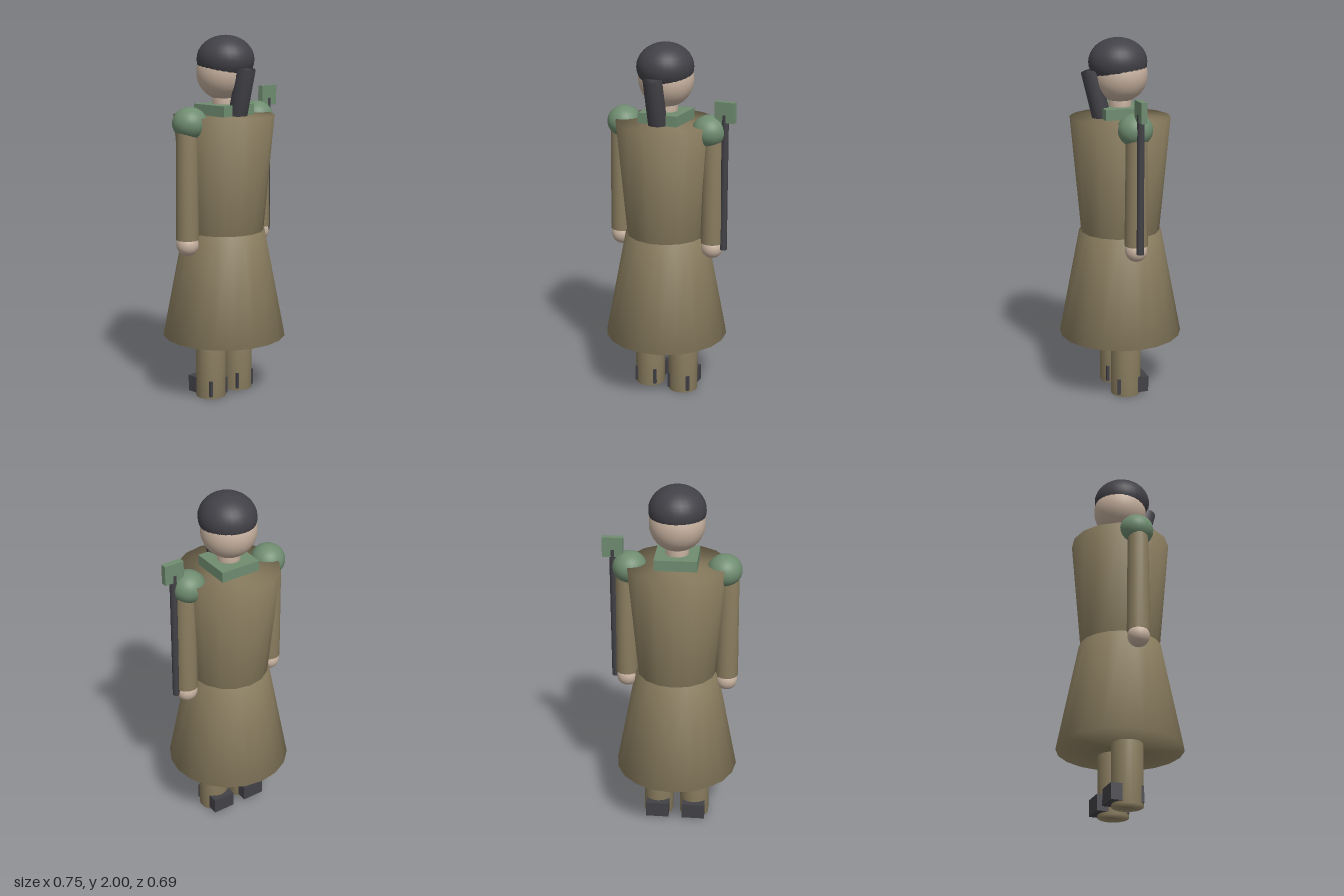
import * as THREE from 'three';
import { mergeVertices } from 'three/addons/utils/BufferGeometryUtils.js';

const CX = -0.027; // body axis

const mat = (name, color) => {
  const m = new THREE.MeshStandardMaterial({ color });
  m.name = name;
  return m;
};

// Closed cylinder between two heights, with normals softened over the rims
function softCylinder(rTop, rBottom, y0, y1, sides) {
  const g = new THREE.CylinderGeometry(rTop, rBottom, y1 - y0, sides);
  g.deleteAttribute('uv');
  g.deleteAttribute('normal');
  const soft = mergeVertices(g, 1e-4);
  soft.computeVertexNormals();
  return soft.translate(0, (y0 + y1) / 2, 0);
}

const ellipsoid = (rx, ry, rz) => new THREE.SphereGeometry(1, 28, 18).scale(rx, ry, rz);

export function createModel() {
  const coat = mat('coat brown', 0x8b7e60);
  const green = mat('trim green', 0x6f8c70);
  const skin = mat('skin', 0xc6b19f);
  const dark = mat('charcoal', 0x424147);

  const model = new THREE.Group();
  model.name = 'figure';
  const add = (name, geometry, material, x, y = 0, z = 0) => {
    const mesh = new THREE.Mesh(geometry, material);
    mesh.name = name;
    mesh.position.set(x, y, z);
    model.add(mesh);
    return mesh;
  };

  // Coat
  add('coatSkirt', softCylinder(0.228, 0.343, 0.34, 0.935, 20), coat, CX);
  add('coatTorso', softCylinder(0.276, 0.218, 0.93, 1.572, 16), coat, CX);
  add('collar', new THREE.BoxGeometry(0.23, 0.06, 0.23), green, CX, 1.6);

  // Head, hair and the lock hanging in front of the face
  add('neck', softCylinder(0.063, 0.063, 1.55, 1.72, 16), skin, CX);
  add('head', ellipsoid(0.15, 0.15, 0.15), skin, CX, 1.8);
  add('hair', ellipsoid(0.153, 0.13, 0.16), dark, CX, 1.87, 0.012);
  const lock = add('frontLock', softCylinder(0.052, 0.052, -0.35, 0, 14), dark, CX, 1.827, 0.167);
  lock.rotation.x = 0.24;

  // Arms, hands, shoulder pads, legs and shoes on both sides
  for (const [side, s] of [['left', 1], ['right', -1]]) {
    add(side + 'Arm', softCylinder(0.056, 0.063, 0.918, 1.55, 16), coat, CX + s * 0.277);
    add(side + 'Hand', ellipsoid(0.06, 0.06, 0.06), skin, CX + s * 0.277, 0.888);
    add(side + 'ShoulderPad', ellipsoid(0.094, 0.087, 0.095), green, CX + s * 0.255, 1.543);
    add(side + 'Leg', softCylinder(0.084, 0.084, 0, 0.45, 18), coat, CX + s * 0.104);
    add(side + 'Shoe', new THREE.BoxGeometry(0.13, 0.09, 0.18), dark, CX + s * 0.104, 0.058, -0.023);
  }

  // Staff with a flat head beside the left arm
  add('staff', softCylinder(0.02, 0.02, 0.885, 1.64, 10), dark, 0.317);
  add('staffHead', new THREE.BoxGeometry(0.112, 0.11, 0.034), green, 0.318, 1.655);

  return model;
}
